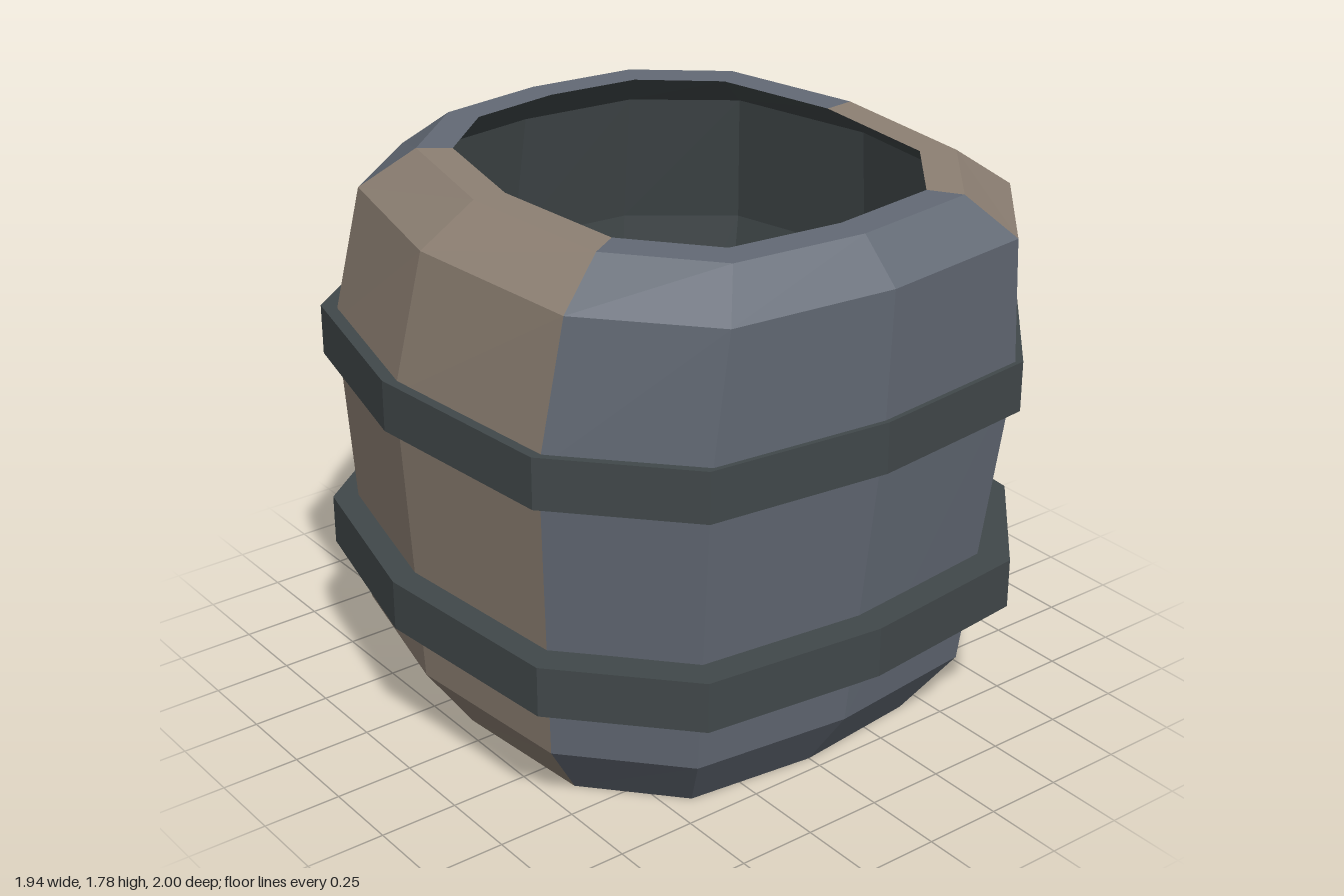
import * as THREE from 'three';

const slate = new THREE.MeshStandardMaterial({ name: 'slate', color: 0x636a75, flatShading: true });
const brown = new THREE.MeshStandardMaterial({ name: 'weathered brown', color: 0x8d8073, flatShading: true });
const charcoal = new THREE.MeshStandardMaterial({ name: 'charcoal', color: 0x41484a, flatShading: true });

// Twelve-sided plan outline: half from front to back, then mirrored
const half = [[0, 0.995], [0.58, 0.93], [0.91, 0.57], [0.97, -0.09], [0.83, -0.67], [0.48, -0.94], [0, -0.995]];
const outline = [...half, ...half.slice(1, -1).reverse().map(([x, z]) => [-x, z])];
const SIDES = outline.length;
const ALL = [...Array(SIDES).keys()];
const BROWN_SIDES = [1, 2, 8, 9];
const SLATE_SIDES = ALL.filter((i) => !BROWN_SIDES.includes(i));

// A ring is [height, half width, half depth, forward shift]
const point = ([y, rx, rz, shift], i) => {
  const [x, z] = outline[i % SIDES];
  return [(x * rx) / 0.97, y, (z * rz) / 0.995 + shift];
};

// Skin the chosen sides between successive rings
function loft(name, rings, sides, material) {
  const pos = [];
  for (let j = 0; j < rings.length - 1; j++) {
    for (const i of sides) {
      const a = point(rings[j], i), b = point(rings[j], i + 1);
      const c = point(rings[j + 1], i + 1), d = point(rings[j + 1], i);
      pos.push(...a, ...b, ...c, ...a, ...c, ...d);
    }
  }
  const geometry = new THREE.BufferGeometry();
  geometry.setAttribute('position', new THREE.Float32BufferAttribute(pos, 3));
  geometry.computeVertexNormals();
  const mesh = new THREE.Mesh(geometry, material);
  mesh.name = name;
  return mesh;
}

export function createModel() {
  const group = new THREE.Group();
  group.name = 'barrel';

  // Outer wall, leaning slightly forward towards the top
  const wall = [
    [0, 0.70, 0.74, -0.04],
    [0.22, 0.853, 0.893, -0.038],
    [1.22, 0.943, 0.962, 0.019],
    [1.66, 0.87, 0.928, 0.072],
    [1.78, 0.70, 0.79, 0.08],
  ];
  const inner = wall.map(([y, rx, rz, s]) => [y, rx - 0.1, rz - 0.1, s]);
  const shell = [inner[0], ...wall, inner[4]];
  group.add(loft('slateStaves', shell, SLATE_SIDES, slate));
  group.add(loft('brownStaves', shell, BROWN_SIDES, brown));

  // Hollow interior, open at both ends
  group.add(loft('innerWall', [...inner].reverse(), ALL, charcoal));

  // Two hoops
  const hoops = [['lowerHoop', 0.44, 0.83, 0.866, -0.02], ['upperHoop', 1.1, 0.87, 0.9, 0.015]];
  for (const [name, y, rx, rz, s] of hoops) {
    const top = y + 0.16;
    group.add(loft(name, [
      [y, rx, rz, s], [y, 0.97, 0.998, 0], [top, 0.97, 0.998, 0], [top, rx, rz, s],
    ], ALL, charcoal));
  }
  return group;
}
